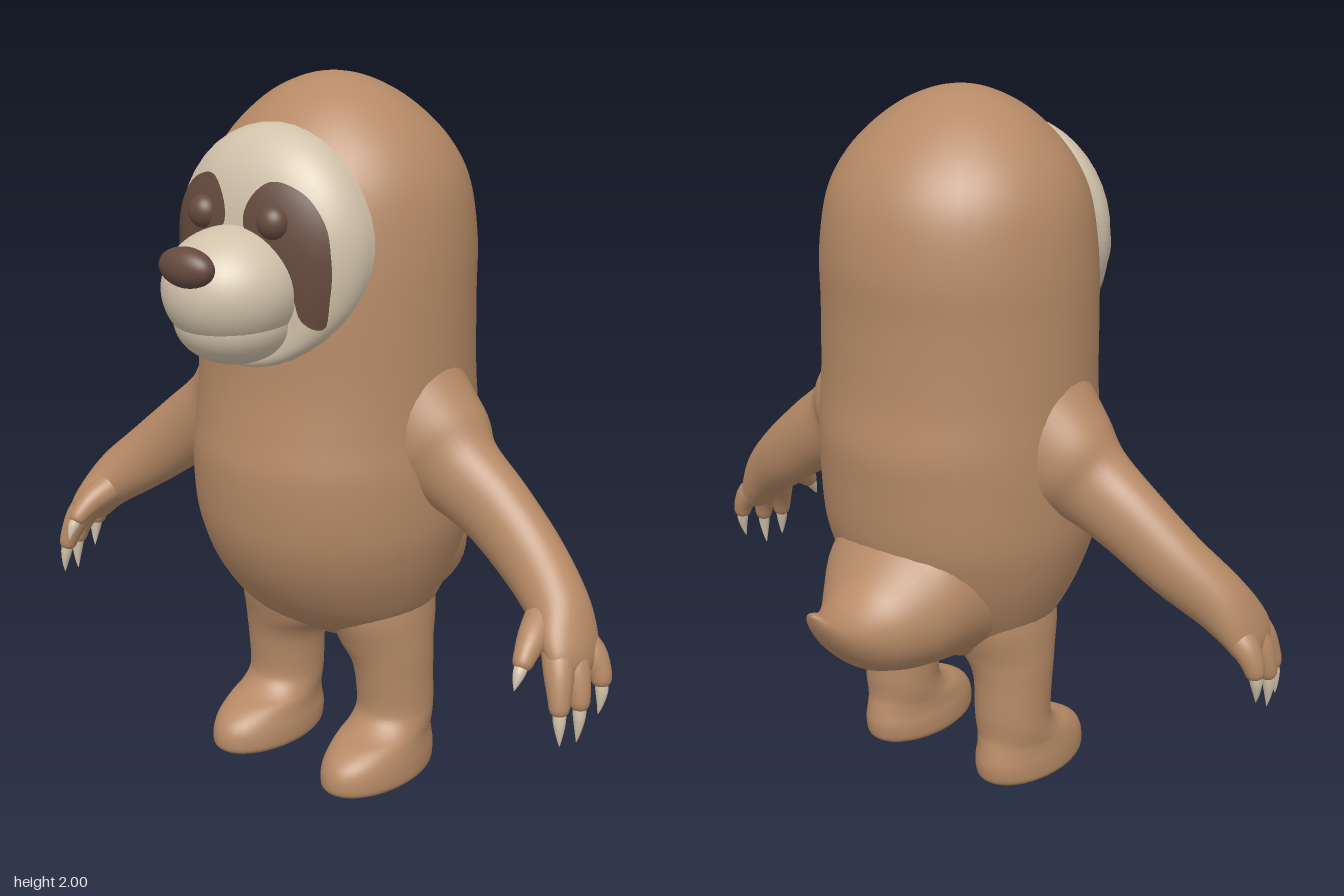
import * as THREE from 'three';

const V = (x, y, z) => new THREE.Vector3(x, y, z);
const SEG = 40;

// Catmull-Rom through rows of numbers, k steps per span
function refine(rows, k = 5) {
  const out = [], last = rows.length - 1;
  const at = i => rows[Math.min(last, Math.max(0, i))];
  for (let i = 0; i < last; i++) {
    for (let s = 0; s < k; s++) {
      const t = s / k, p = at(i - 1), a = at(i), b = at(i + 1), q = at(i + 2);
      out.push(a.map((_, c) => a[c] + 0.5 * t * (b[c] - p[c] + t * (2 * p[c] - 5 * a[c] + 4 * b[c] - q[c]
        + t * (3 * (a[c] - b[c]) + q[c] - p[c])))));
    }
  }
  out.push(rows[last]);
  return out;
}

// Skin closed rings of points, with crisp end caps, facing outward
function loft(rings) {
  const n = rings[0].length, pts = rings.flat(), tri = [];
  for (let i = 0; i < rings.length - 1; i++) {
    for (let j = 0; j < n; j++) {
      const a = i * n + j, b = i * n + (j + 1) % n;
      tri.push(a, a + n, b, b, a + n, b + n);
    }
  }
  [rings[0], rings[rings.length - 1]].forEach((ring, end) => {
    const base = pts.length;
    const mid = ring.reduce((m, p) => m.add(p), V(0, 0, 0)).divideScalar(n);
    pts.push(...ring, mid);
    for (let j = 0; j < n; j++) {
      const a = base + j, b = base + (j + 1) % n;
      if (end) tri.push(a, base + n, b); else tri.push(a, b, base + n);
    }
  });
  let volume = 0;
  for (let i = 0; i < tri.length; i += 3) {
    volume += pts[tri[i]].dot(V(0, 0, 0).crossVectors(pts[tri[i + 1]], pts[tri[i + 2]]));
  }
  if (volume < 0) tri.reverse();
  const g = new THREE.BufferGeometry().setFromPoints(pts);
  g.setIndex(tri);
  g.computeVertexNormals();
  return g;
}

const around = f => Array.from({ length: SEG }, (_, j) => {
  const a = j / SEG * Math.PI * 2;
  return f(Math.cos(a), Math.sin(a));
});

// Tapered limb: rows of [x, y, z, radius in the front plane, radius in depth]
function sweep(rows, side, k = 5) {
  const r = refine(rows, k), P = r.map(q => V(q[0] * side, q[1], q[2]));
  return loft(r.map((q, i) => {
    const t = P[Math.min(i + 1, P.length - 1)].clone().sub(P[Math.max(i - 1, 0)]).normalize();
    const v = V(0, 0, 1).addScaledVector(t, -t.z).normalize();
    const u = v.clone().cross(t);
    return around((c, s) => P[i].clone().addScaledVector(u, q[3] * c).addScaledVector(v, q[4] * s));
  }));
}

function ellipsoid(x, y, z, rx, ry, rz) {
  return new THREE.SphereGeometry(1, 40, 28).scale(rx, ry, rz).translate(x, y, z);
}

// Front surface of the face mask
function faceZ(x, y) {
  const nx = x / 0.31, ny = (y - 1.572) / 0.315;
  const r = Math.min(1, Math.hypot(nx, ny));
  return 0.25 + 0.13 * Math.max(0, -ny) ** 2 * (r ** 2) + 0.17 * Math.sqrt(1 - r ** 2.5);
}

export function createModel() {
  const group = new THREE.Group();
  const mat = (name, color) => Object.assign(new THREE.MeshStandardMaterial({ color }), { name });
  const fur = mat('brown fur', 0xb68a66);
  const cream = mat('cream', 0xd2c3ab);
  const dark = mat('dark brown', 0x654a3e);
  const add = (name, geometry, material) => {
    const m = new THREE.Mesh(geometry, material);
    m.name = name;
    group.add(m);
  };

  // Body and head: [y, half width, front z, back z]
  const body = refine([
    [0.37, 0.05, 0.0, -0.1], [0.385, 0.16, 0.07, -0.15], [0.43, 0.23, 0.15, -0.2], [0.5, 0.295, 0.25, -0.25],
    [0.6, 0.345, 0.33, -0.31], [0.7, 0.38, 0.38, -0.35], [0.8, 0.4, 0.405, -0.375],
    [0.95, 0.405, 0.415, -0.388], [1.06, 0.4, 0.4, -0.393], [1.2, 0.397, 0.383, -0.375],
    [1.4, 0.395, 0.38, -0.37], [1.55, 0.39, 0.375, -0.375], [1.7, 0.368, 0.35, -0.353],
    [1.8, 0.325, 0.305, -0.305], [1.88, 0.258, 0.245, -0.235], [1.945, 0.175, 0.17, -0.15],
    [1.985, 0.085, 0.09, -0.065], [2.0, 0.002, 0.02, 0.016]]);
  add('body', loft(body.map(([y, w, f, b]) =>
    around((c, s) => V(w * c, y, (f + b) / 2 + (f - b) / 2 * s)))), fur);

  // Upturned tail: [z, bottom y, top y, half width]
  const tail = refine([
    [-0.1, 0.39, 0.85, 0.28], [-0.22, 0.395, 0.87, 0.26], [-0.31, 0.405, 0.84, 0.235], [-0.38, 0.42, 0.765, 0.19],
    [-0.45, 0.447, 0.693, 0.14], [-0.52, 0.5, 0.662, 0.095], [-0.58, 0.562, 0.664, 0.062],
    [-0.625, 0.627, 0.68, 0.034], [-0.645, 0.672, 0.684, 0.006]]);
  add('tail', loft(tail.map(([z, b, t, w]) =>
    around((c, s) => V(w * c, (b + t) / 2 + (t - b) / 2 * s, z)))), fur);

  // Face mask: domed front with a rim running back into the head
  const mask = [around((c, s) => V(0.3 * c, 1.572 + 0.305 * s, 0.12))];
  for (let i = 0; i <= 16; i++) {
    const r = Math.max(0.004, Math.cos(i / 16 * Math.PI / 2));
    mask.push(around((c, s) => {
      const x = 0.31 * r * c, y = 1.572 + 0.315 * r * s;
      return V(x, y, faceZ(x, y));
    }));
  }
  add('faceMask', loft(mask), cream);

  // Muzzle, jaw and nose
  add('muzzle', ellipsoid(0, 1.478, 0.43, 0.185, 0.163, 0.19), cream);
  add('jaw', ellipsoid(0, 1.395, 0.425, 0.16, 0.118, 0.162), cream);
  add('nose', ellipsoid(0, 1.56, 0.6, 0.088, 0.053, 0.046), dark);

  // Eye patch outline, draped over the mask
  const outline = [[0.1, 1.76], [0.045, 1.71], [0.032, 1.65], [0.06, 1.61], [0.135, 1.57], [0.175, 1.49],
    [0.195, 1.41], [0.235, 1.385], [0.262, 1.48], [0.267, 1.57], [0.25, 1.66], [0.19, 1.735]];
  // Leg and foot: [y, inner x, outer x, front z, back z]
  const leg = refine([
    [0.0, 0.095, 0.322, 0.272, -0.118], [0.015, 0.086, 0.333, 0.285, -0.132], [0.055, 0.086, 0.333, 0.283, -0.138],
    [0.09, 0.092, 0.328, 0.262, -0.132], [0.12, 0.095, 0.323, 0.215, -0.125], [0.14, 0.097, 0.321, 0.16, -0.121],
    [0.17, 0.098, 0.319, 0.117, -0.122], [0.21, 0.098, 0.317, 0.104, -0.125], [0.3, 0.093, 0.316, 0.114, -0.126],
    [0.35, 0.075, 0.317, 0.124, -0.13], [0.4, 0.04, 0.316, 0.14, -0.14], [0.5, 0.02, 0.31, 0.17, -0.17],
    [0.62, 0.03, 0.29, 0.16, -0.17]], 4);
  const arm = [
    [0.3, 1.04, 0.01, 0.22, 0.17], [0.38, 1.0, 0.01, 0.172, 0.145], [0.45, 0.955, 0.018, 0.13, 0.108],
    [0.57, 0.878, 0.024, 0.11, 0.09], [0.7, 0.778, 0.045, 0.098, 0.084], [0.81, 0.69, 0.085, 0.083, 0.085],
    [0.87, 0.62, 0.12, 0.06, 0.095], [0.9, 0.565, 0.14, 0.04, 0.085], [0.912, 0.53, 0.148, 0.01, 0.03]];
  // Finger paths: knuckle, bend and claw tip
  const fingers = [
    [V(0.8, 0.665, 0.15), V(0.83, 0.62, 0.27), V(0.825, 0.53, 0.3)],
    [V(0.87, 0.61, 0.17), V(0.92, 0.52, 0.235), V(0.925, 0.38, 0.235)],
    [V(0.87, 0.61, 0.13), V(0.955, 0.53, 0.165), V(0.935, 0.37, 0.17)],
    [V(0.87, 0.61, 0.08), V(0.965, 0.56, 0.06), V(0.945, 0.42, 0.085)]];

  for (const side of [1, -1]) {
    const label = part => (side > 0 ? 'left' : 'right') + part;

    const edge = new THREE.CatmullRomCurve3(outline.map(([x, y]) => V(x, y, 0)), true).getPoints(60).slice(0, -1);
    const patch = [];
    for (let i = 0; i <= 8; i++) {
      const k = Math.max(0.01, i / 8);
      patch.push(edge.map(p => {
        const x = 0.17 + (p.x - 0.17) * k, y = 1.635 + (p.y - 1.635) * k;
        return V(x * side, y, faceZ(x, y) + 0.006);
      }));
    }
    add(label('EyePatch'), loft(patch), dark);
    add(label('Eye'), ellipsoid(0.12 * side, 1.66, 0.405, 0.045, 0.045, 0.04), dark);

    add(label('Leg'), loft(leg.map(([y, a, b, f, k]) => around((c, s) =>
      V(side * ((a + b) / 2 + (b - a) / 2 * c), y, (f + k) / 2 + (f - k) / 2 * s)))), fur);
    add(label('Arm'), sweep(arm, side), fur);

    fingers.forEach((path, i) => {
      const curve = new THREE.QuadraticBezierCurve3(...path);
      const row = ([t, r]) => [...curve.getPoint(t).toArray(), r, r];
      add(label('Finger' + (i + 1)),
        sweep([[0, 0.045], [0.25, 0.04], [0.5, 0.031], [0.66, 0.024], [0.72, 0.004]].map(row), side, 3), fur);
      add(label('Claw' + (i + 1)),
        sweep([[0.6, 0.018], [0.75, 0.017], [0.9, 0.009], [1, 0.001]].map(row), side, 3), cream);
    });
  }
  return group;
}
